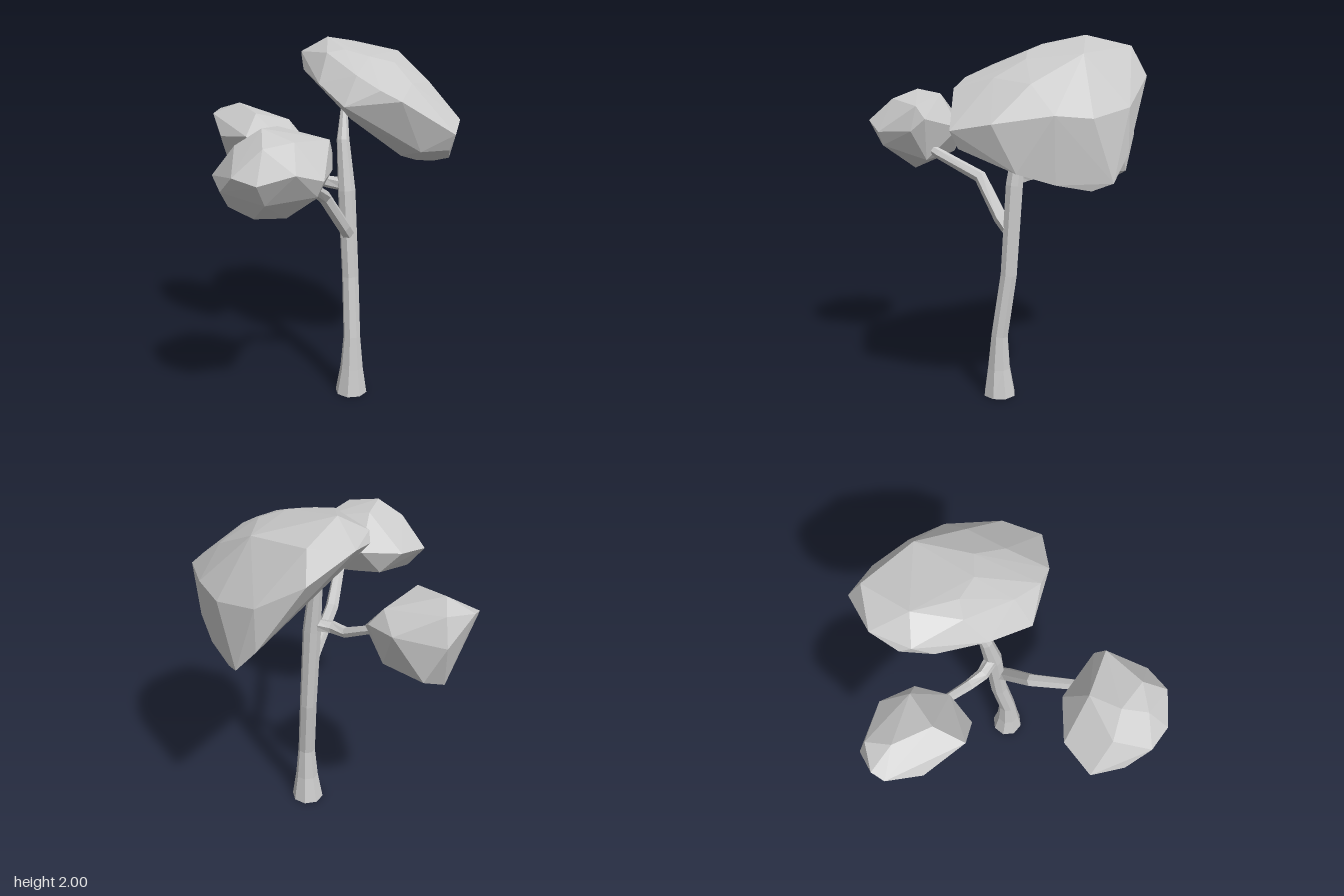
import * as THREE from 'three';
import { ConvexGeometry } from 'three/addons/geometries/ConvexGeometry.js';

const material = new THREE.MeshStandardMaterial({ color: 0xcccccc, flatShading: true, side: THREE.DoubleSide });

function addMesh(group, geometry, name) {
  const mesh = new THREE.Mesh(geometry, material);
  mesh.name = name;
  group.add(mesh);
}

// Open tapered limb through rings of [x, y, z, radius]
function limb(rings, sides) {
  const centres = rings.map(([x, y, z]) => new THREE.Vector3(x, y, z));
  const up = new THREE.Vector3(0, 1, 0);
  const positions = [];
  const index = [];
  rings.forEach(([, , , radius], i) => {
    const next = centres[Math.min(i + 1, centres.length - 1)];
    const tangent = next.clone().sub(centres[Math.max(i - 1, 0)]).normalize();
    if (i === 0 && rings[0][1] === 0) tangent.copy(up); // flat on the ground
    const turn = new THREE.Quaternion().setFromUnitVectors(up, tangent);
    for (let j = 0; j < sides; j++) {
      const a = ((j + 0.5) / sides) * Math.PI * 2;
      const p = new THREE.Vector3(Math.cos(a), 0, Math.sin(a)).multiplyScalar(radius);
      p.applyQuaternion(turn).add(centres[i]);
      positions.push(p.x, p.y, p.z);
      if (i < rings.length - 1) {
        const k = (j + 1) % sides;
        const a0 = i * sides + j, a1 = i * sides + k;
        index.push(a0, a0 + sides, a1, a1, a0 + sides, a1 + sides);
      }
    }
  });
  const geometry = new THREE.BufferGeometry();
  geometry.setAttribute('position', new THREE.Float32BufferAttribute(positions, 3));
  geometry.setIndex(index);
  const flat = geometry.toNonIndexed();
  flat.computeVertexNormals();
  return flat;
}

// Faceted leaf clump wrapped around its corner points
const clump = (points) => new ConvexGeometry(points.map((p) => new THREE.Vector3(...p)));

export function createModel() {
  const tree = new THREE.Group();
  tree.name = 'tree';

  // Trunk, flared at the foot and leaning back
  addMesh(tree, limb([
    [0.085, 0, 0.015, 0.092], [0.087, 0.16, 0.019, 0.066], [0.088, 0.35, 0.015, 0.049],
    [0.086, 0.7, -0.035, 0.048], [0.068, 1.2, -0.065, 0.05],
    [0.053, 1.48, -0.1, 0.036], [0.068, 1.68, -0.15, 0.016],
  ], 8), 'trunk');

  // Side branches
  addMesh(tree, limb([
    [0.07, 0.96, -0.03, 0.038], [0.04, 1.01, 0.01, 0.038],
    [-0.085, 1.22, 0.125, 0.036], [-0.18, 1.335, 0.36, 0.03], [-0.23, 1.38, 0.45, 0.02],
  ], 6), 'frontBranch');
  addMesh(tree, limb([
    [0.06, 1.23, -0.07, 0.038], [-0.03, 1.235, -0.13, 0.034],
    [-0.085, 1.24, -0.21, 0.029], [-0.16, 1.3, -0.31, 0.025], [-0.24, 1.36, -0.42, 0.02],
  ], 6), 'backBranch');

  // Large tilted crown
  addMesh(tree, clump([
    [0.02, 2, -0.44], [0.21, 1.95, -0.66], [0.42, 1.92, -0.4], [0.08, 1.955, -0.21],
    [-0.02, 1.94, -0.2], [0.2, 1.925, -0.13], [0.34, 1.89, -0.12], [0.4, 1.8, 0.04],
    [0.1, 1.85, 0.05], [0.2, 1.79, 0.19], [0.54, 1.78, -0.14], [0.23, 1.8, -0.74],
    [0.45, 1.66, -0.63], [0.6, 1.62, -0.44], [0.66, 1.64, -0.25], [0.67, 1.6, 0.05],
    [0.59, 1.56, 0.25], [0.3, 1.74, 0.245], [0.02, 1.7, 0.13], [-0.08, 1.79, -0.09],
    [-0.13, 1.83, -0.35], [-0.13, 1.92, -0.45], [-0.12, 1.88, -0.51], [-0.02, 1.91, -0.64],
    [0.07, 1.62, 0.05], [0.38, 1.375, -0.1], [0.45, 1.43, -0.63], [0.54, 1.295, -0.55],
    [0.56, 1.26, -0.44], [0.62, 1.3, -0.26], [0.65, 1.36, -0.07], [0.57, 1.47, 0.21],
    [0.42, 1.46, 0.19],
  ]), 'mainCrown');

  // Front clump
  addMesh(tree, clump([
    [-0.44, 1.68, 0.5], [-0.35, 1.66, 0.36], [-0.57, 1.59, 0.45], [-0.3, 1.635, 0.63],
    [-0.45, 1.61, 0.64], [-0.11, 1.61, 0.48], [-0.09, 1.54, 0.43], [-0.1, 1.47, 0.51],
    [-0.17, 1.46, 0.7], [-0.31, 1.51, 0.77], [-0.49, 1.46, 0.75], [-0.6, 1.48, 0.65],
    [-0.65, 1.38, 0.52], [-0.68, 1.42, 0.34], [-0.51, 1.45, 0.23], [-0.28, 1.47, 0.25],
    [-0.4, 1.32, 0.285], [-0.61, 1.28, 0.43], [-0.49, 1.23, 0.5], [-0.33, 1.23, 0.51],
    [-0.17, 1.3, 0.43], [-0.2, 1.38, 0.68], [-0.45, 1.35, 0.69],
  ]), 'frontClump');

  // Back clump, narrowing towards its foot
  addMesh(tree, clump([
    [-0.635, 1.54, -0.65], [-0.59, 1.56, -0.71], [-0.44, 1.57, -0.73], [-0.44, 1.42, -0.775],
    [-0.2, 1.45, -0.66], [-0.13, 1.43, -0.48], [-0.16, 1.33, -0.31], [-0.31, 1.3, -0.21],
    [-0.47, 1.48, -0.25], [-0.4, 1.58, -0.4], [-0.2, 1.52, -0.5], [-0.48, 1.61, -0.6],
    [-0.6, 1.44, -0.47], [-0.54, 1.2, -0.6], [-0.49, 1.13, -0.64], [-0.35, 1.12, -0.48],
    [-0.2, 1.22, -0.52], [-0.35, 1.21, -0.72], [-0.24, 1.22, -0.34],
  ]), 'backClump');

  return tree;
}
